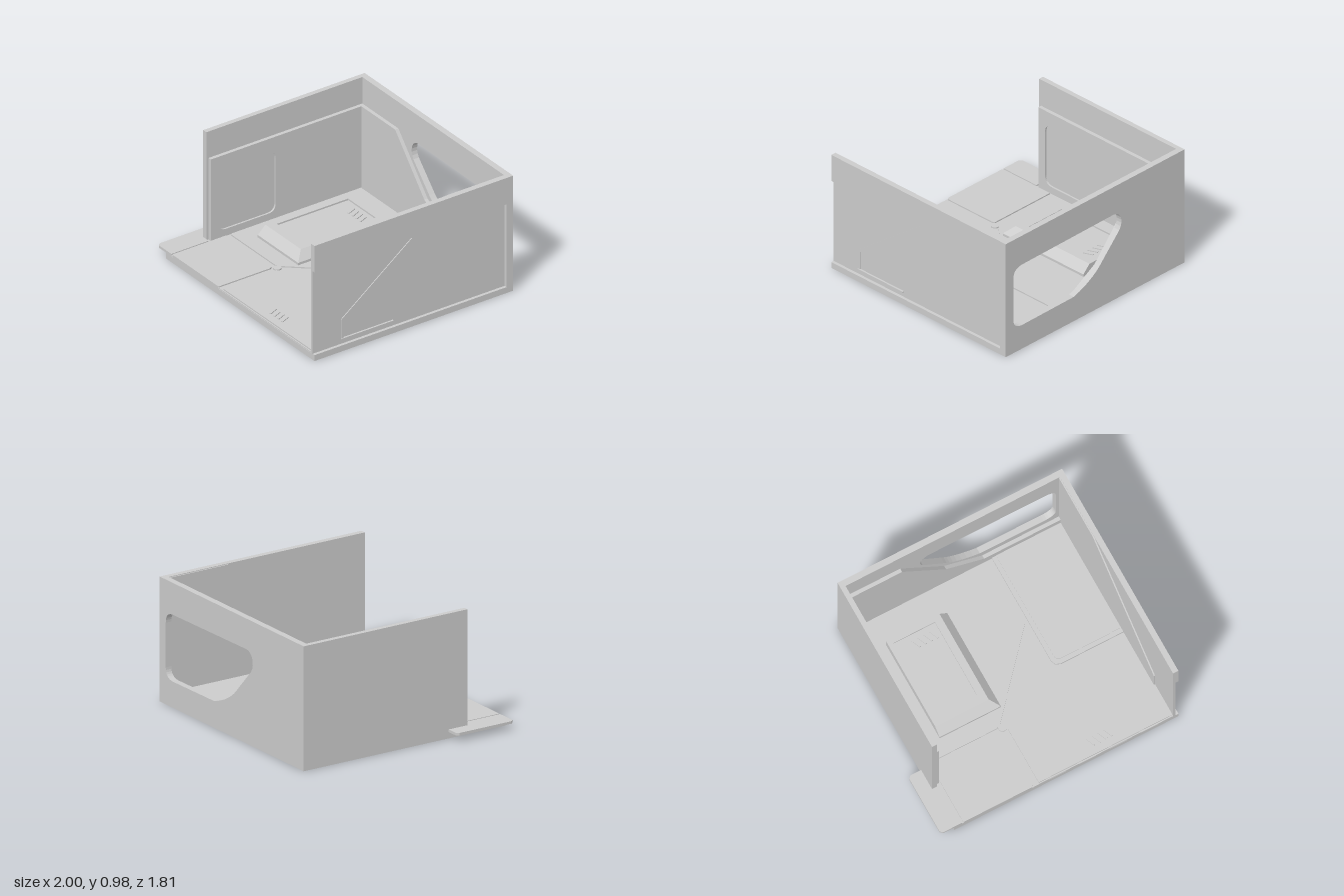
import * as THREE from 'three';

const material = new THREE.MeshStandardMaterial({ color: 0xcccccc, flatShading: true });

export function createModel() {
  const model = new THREE.Group();

  const add = (name, geometry) => {
    const mesh = new THREE.Mesh(geometry, material);
    mesh.name = name;
    model.add(mesh);
    return mesh;
  };

  // Box given by its limits on each axis
  const box = (name, x0, x1, y0, y1, z0, z1) => {
    const g = new THREE.BoxGeometry(x1 - x0, y1 - y0, z1 - z0);
    g.translate((x0 + x1) / 2, (y0 + y1) / 2, (z0 + z1) / 2);
    return add(name, g);
  };

  const outline = (points) => new THREE.Shape(points.map(([a, b]) => new THREE.Vector2(a, b)));
  const extrude = (shape, depth) =>
    new THREE.ExtrudeGeometry(shape, { depth, bevelEnabled: false, curveSegments: 8 });

  // Rounded rectangle drawn into a shape or a hole
  const rounded = (path, a0, a1, b0, b1, r) => {
    path.moveTo(a0 + r, b0);
    path.lineTo(a1 - r, b0);
    path.quadraticCurveTo(a1, b0, a1, b0 + r);
    path.lineTo(a1, b1 - r);
    path.quadraticCurveTo(a1, b1, a1 - r, b1);
    path.lineTo(a0 + r, b1);
    path.quadraticCurveTo(a0, b1, a0, b1 - r);
    path.lineTo(a0, b0 + r);
    path.quadraticCurveTo(a0, b0, a0 + r, b0);
    return path;
  };

  // Horizontal plate: the shape is drawn in (x, -z)
  const plate = (name, shape, y0, y1) => {
    const g = extrude(shape, y1 - y0);
    g.rotateX(-Math.PI / 2);
    g.translate(0, y0, 0);
    return add(name, g);
  };
  const floorShape = (points) => outline(points.map(([x, z]) => [x, -z]));

  // Upright side plate: the shape is drawn in (-z, y)
  const sidePlate = (name, shape, x0, x1) => {
    const g = extrude(shape, x1 - x0);
    g.rotateY(Math.PI / 2);
    g.translate(x0, 0, 0);
    return add(name, g);
  };
  const sideShape = (points) => outline(points.map(([z, y]) => [-z, y]));

  // Back wall with its cut-off window
  const back = outline([[-0.89, 0], [1, 0], [1, 0.98], [-0.89, 0.98]]);
  const win = new THREE.Path();
  win.moveTo(-0.14, 0.74);
  win.lineTo(0.82, 0.73);
  win.quadraticCurveTo(0.92, 0.73, 0.92, 0.64);
  win.lineTo(0.92, 0.29);
  win.quadraticCurveTo(0.92, 0.205, 0.82, 0.205);
  win.lineTo(0.28, 0.21);
  win.bezierCurveTo(0.12, 0.26, 0.03, 0.33, -0.02, 0.39);
  win.lineTo(-0.2, 0.58);
  win.bezierCurveTo(-0.25, 0.65, -0.21, 0.74, -0.14, 0.74);
  back.holes.push(win);
  add('backWall', extrude(back, 0.05)).position.z = -0.91;

  // Inner lining of the back wall, stepping down under the window
  const lining = outline([[-0.85, 0.05], [0.95, 0.05], [0.95, 0.14], [0.3, 0.14],
    [-0.02, 0.33], [-0.39, 0.755], [-0.85, 0.755]]);
  add('backLining', extrude(lining, 0.03)).position.z = -0.86;

  // Right side wall and its lining with a rounded sunken field
  box('rightWall', -0.89, -0.85, 0, 0.98, -0.87, 0.56);
  const rightLining = sideShape([[0.54, 0.05], [-0.84, 0.05], [-0.84, 0.755], [0.54, 0.755]]);
  rightLining.holes.push(rounded(new THREE.Path(), -0.47, 0.05, 0.12, 0.64, 0.07));
  sidePlate('rightLining', rightLining, -0.85, -0.82);
  box('rightLiningField', -0.85, -0.835, 0.1, 0.66, -0.07, 0.49);

  // Left side wall: solid head and rear, thinner sheet set back below
  box('leftWallHead', 0.955, 1, 0.755, 0.98, -0.87, 0.9);
  box('leftWallRear', 0.955, 1, 0, 0.755, -0.87, -0.85);
  box('leftWallSill', 0.955, 1, 0, 0.05, -0.85, 0.9);
  box('leftWallSheet', 0.955, 0.975, 0.05, 0.755, -0.85, 0.9);
  sidePlate('leftLining', sideShape([[0.62, 0.07], [-0.86, 0.07], [-0.86, 0.975],
    [-0.33, 0.975], [0.62, 0.26]]), 0.945, 0.956);
  // Thin seam and ledge on the outside of the sheet
  sidePlate('leftSeam', sideShape([[0.64, 0.1], [0.62, 0.1], [0.62, 0.25], [-0.05, 0.755],
    [-0.02, 0.755], [0.64, 0.26]]), 0.97, 0.982);
  box('leftLedge', 0.97, 0.99, 0.09, 0.1, 0.17, 0.64);

  // Hollow base: rims and a thin sheet that carries the floor plates
  box('frontRim', -0.89, 0.96, 0, 0.05, 0.89, 0.9);
  box('rightRim', -0.89, -0.87, 0, 0.05, 0.55, 0.9);
  box('floorSheet', -0.86, 0.96, 0.053, 0.06, -0.87, 0.9);

  // Floor plates separated by channels
  plate('mainFloorPlate', floorShape([[-0.81, -0.82], [0.335, -0.82], [0.335, -0.26],
    [-0.2, 0.345], [-0.24, 0.37], [-0.8, 0.37], [-0.81, 0.36]]), 0.045, 0.07);
  plate('frontRightPlate', floorShape([[-0.81, 0.41], [-0.23, 0.41], [-0.22, 0.43],
    [-0.22, 0.89], [-0.23, 0.9], [-0.8, 0.9], [-0.81, 0.89]]), 0.045, 0.07);
  plate('frontLeftPlate', floorShape([[-0.17, 0.41], [0.335, -0.17], [0.335, 0.1],
    [0.35, 0.15], [0.4, 0.175], [0.955, 0.175], [0.955, 0.89], [-0.17, 0.89]]), 0.045, 0.07);
  plate('rearLeftPlate', floorShape([[0.365, -0.84], [0.95, -0.84], [0.95, 0.145],
    [0.42, 0.145], [0.38, 0.13], [0.365, 0.09]]), 0.045, 0.075);
  plate('rearLeftField', floorShape([[0.4, -0.84], [0.94, -0.84], [0.94, 0.11],
    [0.43, 0.11], [0.41, 0.1], [0.4, 0.08]]), 0.07, 0.08);
  const hub = add('channelHub', new THREE.CylinderGeometry(0.032, 0.032, 0.025, 20));
  hub.position.set(-0.2, 0.0575, 0.38);

  // Side tab reaching past the right wall
  plate('sideTab', floorShape([[-0.82, 0.9], [-0.98, 0.9], [-1, 0.88], [-1, 0.41],
    [-0.98, 0.39], [-0.89, 0.39], [-0.89, 0.56], [-0.82, 0.56]]), 0.05, 0.07);

  // Raised block, sloping at its front and left sides, with a shallow tray on top
  const ring = (y, x1, z1) => [[-0.65, y, -0.6], [-0.65, y, z1], [x1, y, z1], [x1, y, -0.6]];
  const rings = [ring(0.06, -0.135, 0.235), ring(0.09, -0.135, 0.235),
    ring(0.155, -0.2, 0.165)];
  const inner = (y) => [[-0.61, y, -0.56], [-0.61, y, 0.09], [-0.26, y, 0.09], [-0.26, y, -0.56]];
  rings.push(inner(0.155), inner(0.142));
  const corners = [];
  const quad = (a, b, c, d) => corners.push(...a, ...b, ...c, ...a, ...c, ...d);
  for (let i = 0; i < rings.length - 1; i++) {
    for (let j = 0; j < 4; j++) {
      const k = (j + 1) % 4;
      quad(rings[i][j], rings[i][k], rings[i + 1][k], rings[i + 1][j]);
    }
  }
  quad(...rings[4]);
  const block = new THREE.BufferGeometry();
  block.setAttribute('position', new THREE.Float32BufferAttribute(corners, 3));
  block.computeVertexNormals();
  add('raisedBlock', block);

  // Small slanted grip bars on the floor and on the block
  const bars = (name, x, y, z) => {
    for (let i = 0; i < 4; i++) {
      const bar = add(name, new THREE.BoxGeometry(0.015, 0.008, 0.08));
      bar.position.set(x + i * 0.05, y, z);
      bar.rotation.y = 0.4;
    }
  };
  bars('floorGripBar', 0.32, 0.073, 0.79);
  bars('blockGripBar', -0.46, 0.145, -0.48);

  return model;
}
